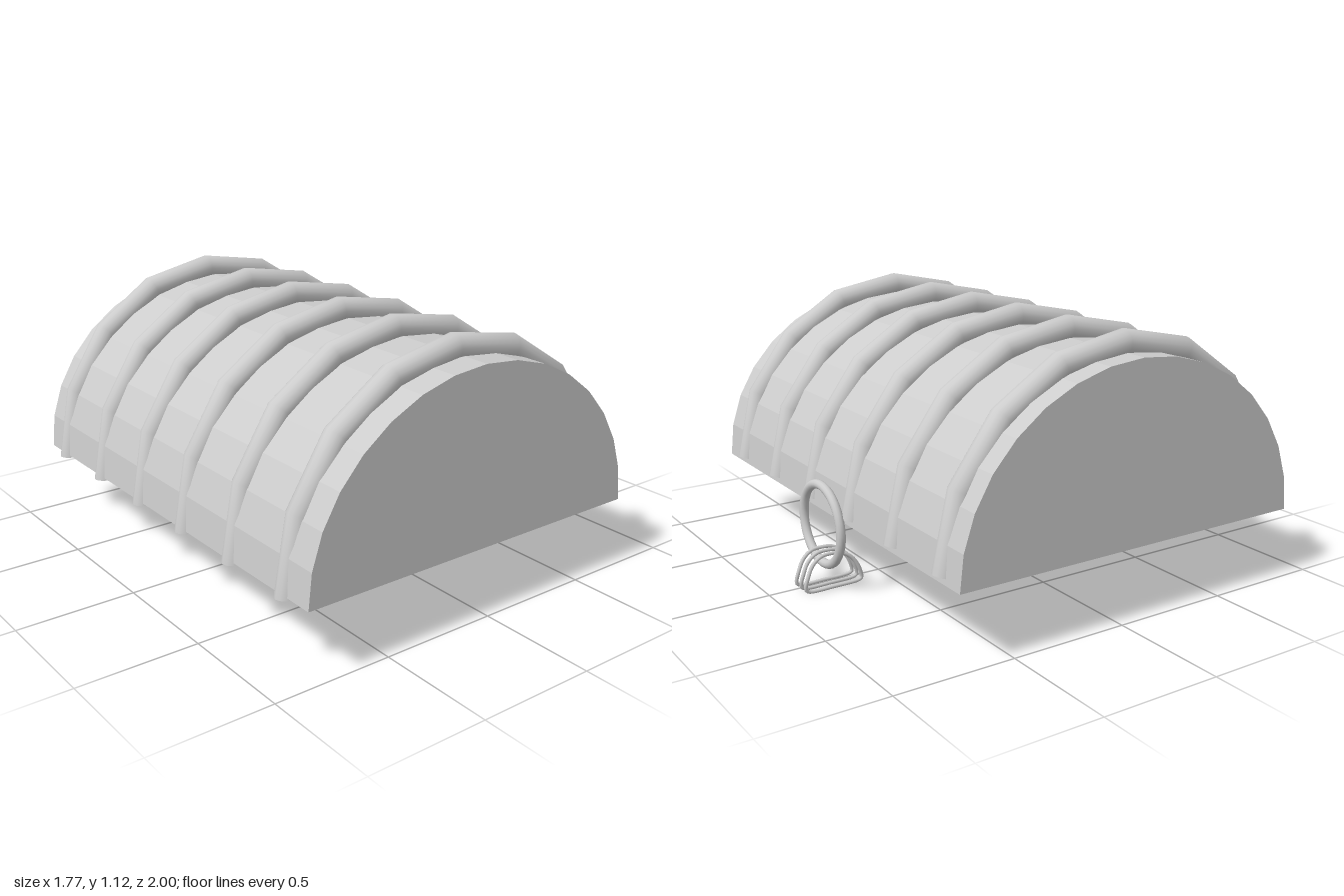
import * as THREE from 'three';

const metal = new THREE.MeshStandardMaterial({ color: 0xcccccc });
metal.name = 'grey metal';

// Points of the arched profile, inset from the outside by t
function arch(t) {
  const pts = [];
  for (let i = 0; i <= 16; i++) {
    const a = (i / 16) * Math.PI;
    pts.push(new THREE.Vector2(-0.063 + (0.794 - t) * Math.cos(a), 0.3 + (0.73 - t) * Math.sin(a)));
  }
  return pts;
}

// Bent bar: an oval section swept along its outer edge of [x, y, radius] points
function ribGeometry(edge, rZ, sides) {
  const pos = [], idx = [], n = edge.length;
  edge.forEach(([x, y, radius], i) => {
    const a = edge[Math.max(i - 1, 0)], b = edge[Math.min(i + 1, n - 1)];
    const dir = i === 0 ? new THREE.Vector2(0, 1) : new THREE.Vector2(b[0] - a[0], b[1] - a[1]).normalize();
    for (let j = 0; j < sides; j++) {
      const t = (j / sides) * Math.PI * 2;
      const r = radius * (Math.cos(t) - 1);
      pos.push(x - dir.y * r, y + dir.x * r, rZ * Math.sin(t));
    }
  });
  for (let i = 0; i < n - 1; i++) {
    for (let j = 0; j < sides; j++) {
      const a = i * sides + j, b = i * sides + ((j + 1) % sides), c = a + sides, d = b + sides;
      idx.push(a, b, c, b, d, c);
    }
  }
  // flat end caps with their own corners
  [0, n - 1].forEach((i) => {
    const base = pos.length / 3;
    for (let j = 0; j < sides; j++) {
      const k = (i * sides + j) * 3;
      pos.push(pos[k], pos[k + 1], pos[k + 2]);
    }
    for (let j = 1; j < sides - 1; j++) {
      if (i === 0) idx.push(base, base + j + 1, base + j);
      else idx.push(base, base + j, base + j + 1);
    }
  });
  const g = new THREE.BufferGeometry();
  g.setAttribute('position', new THREE.Float32BufferAttribute(pos, 3));
  g.setIndex(idx);
  g.computeVertexNormals();
  return g;
}

export function createModel() {
  const model = new THREE.Group();
  model.name = 'ribbedLid';
  const wall = 0.052;

  function add(name, geometry, x = 0, y = 0, z = 0) {
    const mesh = new THREE.Mesh(geometry, metal);
    mesh.name = name;
    mesh.position.set(x, y, z);
    model.add(mesh);
    return mesh;
  }

  // Faceted barrel shell, open underneath
  const shell = new THREE.Shape([...arch(0), ...arch(wall).reverse()]);
  add('barrelShell', new THREE.ExtrudeGeometry(shell, { depth: 2 - 2 * wall, bevelEnabled: false }), 0, 0, wall - 1);

  // Closed end walls
  const end = new THREE.ExtrudeGeometry(new THREE.Shape(arch(0)), { depth: wall, bevelEnabled: false });
  add('frontWall', end, 0, 0, 1 - wall);
  add('backWall', end, 0, 0, -1);

  // Six bent ribs with flared feet, partly showing on the inside
  const edge = [
    [-0.883, 0.289, 0.08], [-0.823, 0.6, 0.053], [-0.653, 0.87, 0.053], [-0.393, 1.05, 0.053],
    [-0.08, 1.115, 0.053], [0.235, 1.06, 0.053], [0.5, 0.892, 0.053], [0.687, 0.635, 0.053],
    [0.757, 0.33, 0.065],
  ];
  const rib = ribGeometry(edge, 0.05, 16);
  for (let i = 0; i < 6; i++) add('rib' + (i + 1), rib, 0, 0, 0.84 - i * 0.341);

  // Large hanging ring on the left side
  add('hangingRing', new THREE.TorusGeometry(0.166, 0.019, 12, 40), 0.767, 0.265, -0.025).rotation.y = Math.PI / 2;

  // Three small D-shaped links hanging from the ring
  const linkPath = new THREE.CatmullRomCurve3([
    [0.624, 0.02, 0], [0.636, 0.07, -0.004], [0.668, 0.12, 0], [0.71, 0.146, 0.006], [0.755, 0.151, 0.008],
    [0.8, 0.147, 0.007], [0.84, 0.12, 0.003], [0.867, 0.07, -0.003], [0.876, 0.025, 0], [0.865, 0.012, 0],
    [0.75, 0.009, 0], [0.635, 0.013, 0],
  ].map((p) => new THREE.Vector3(...p)), true);
  const link = new THREE.TubeGeometry(linkPath, 60, 0.008, 8, true);
  [0.005, -0.038, -0.081].forEach((z, i) => add('link' + (i + 1), link, 0, 0, z));

  return model;
}
